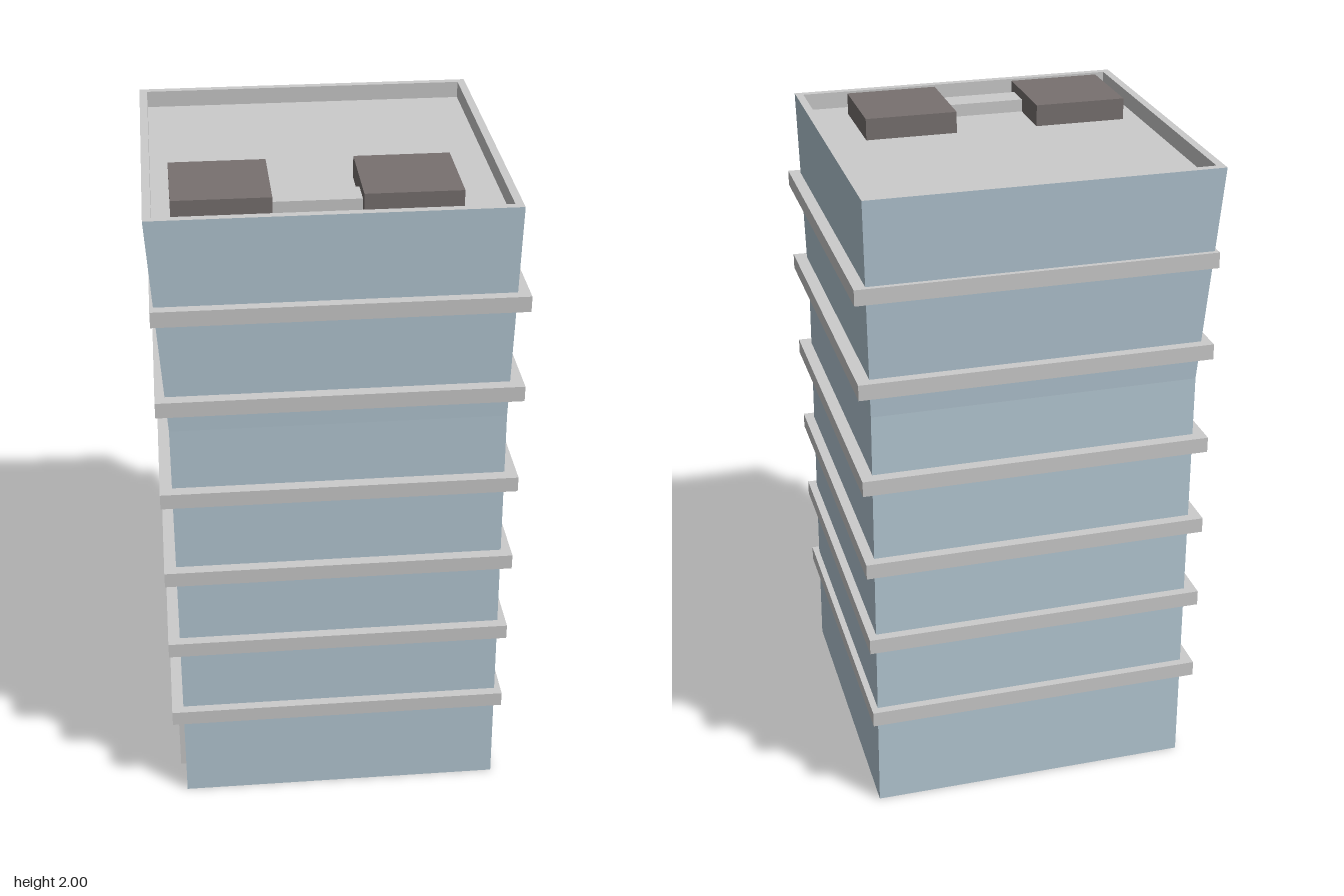
import * as THREE from 'three';

const paint = (color) => new THREE.MeshStandardMaterial({ color, flatShading: true });
const glass = paint(0xb6cad6);
const grey = paint(0xcccccc);
const dark = paint(0x787170);
const doorDark = paint(0x5c5256);

// Square ring of four corners, anticlockwise seen from above
function ring(y, side, cx = 0, cz = 0) {
  const h = side / 2;
  return [[-h, h], [h, h], [h, -h], [-h, -h]].map(([x, z]) => [x + cx, y, z + cz]);
}

// Joins rings with flat quads, optionally closing the first or last one
function loft(rings, capFirst, capLast) {
  const pos = [];
  const quad = (a, b, c, d) => pos.push(...a, ...b, ...c, ...a, ...c, ...d);
  for (let i = 0; i < rings.length - 1; i++) {
    const a = rings[i], b = rings[i + 1];
    for (let k = 0; k < 4; k++) {
      const n = (k + 1) % 4;
      quad(a[k], a[n], b[n], b[k]);
    }
  }
  if (capFirst) quad(...[...rings[0]].reverse());
  if (capLast) quad(...rings[rings.length - 1]);
  const geo = new THREE.BufferGeometry();
  geo.setAttribute('position', new THREE.Float32BufferAttribute(pos, 3));
  geo.computeVertexNormals();
  return geo;
}

function add(parent, name, geo, material, x = 0, y = 0, z = 0) {
  const mesh = new THREE.Mesh(geo, material);
  mesh.name = name;
  mesh.position.set(x, y, z);
  parent.add(mesh);
  return mesh;
}

const box = (w, h, d) => new THREE.BoxGeometry(w, h, d);

export function createModel() {
  const model = new THREE.Group();
  model.name = 'officeTower';
  const tower = new THREE.Group();
  tower.name = 'tower';
  tower.rotation.y = 0.0245;
  model.add(tower);

  // Walls: narrowing slightly, then flaring towards the roof
  const top = ring(1.985, 1.028, -0.013, -0.012);
  add(tower, 'walls', loft([
    ring(0, 0.985, 0.01, -0.002),
    ring(1.33, 0.972, 0.002, 0),
    top,
  ], true, false), glass);

  // Parapet rim and sunken roof deck
  add(tower, 'roof', loft([
    top,
    ring(1.985, 0.981, -0.013, -0.012),
    ring(1.935, 0.981, -0.013, -0.012),
  ], false, true), grey);

  // Ledges between floors, each tipped up a little at the back
  [0.317, 0.582, 0.844, 1.12, 1.424, 1.708].forEach((y, i) => {
    const side = 1.036 + i * 0.003;
    add(tower, 'ledge' + (i + 1), box(side, 0.047, side), grey, 0.001 * i, y, 0).rotation.x = 0.007;
  });

  // Roof units and the duct joining them
  for (const x of [-0.313, 0.214]) {
    add(tower, 'roofUnit', box(0.277, 0.068, 0.277), dark, x, 1.966, 0.268);
  }
  add(tower, 'roofDuct', box(0.3, 0.04, 0.085), grey, -0.05, 1.953, 0.332);

  // Two framed doors on the side wall
  for (const z of [-0.147, 0.232]) {
    const door = new THREE.Group();
    door.name = 'door';
    door.position.set(-0.484, 0, z);
    add(door, 'doorPanel', box(0.012, 0.235, 0.215), doorDark, 0, 0.1175, 0);
    for (const s of [-1, 1]) {
      add(door, 'doorJamb', box(0.032, 0.26, 0.028), grey, 0, 0.13, s * 0.121);
    }
    add(door, 'doorLintel', box(0.032, 0.028, 0.214), grey, 0, 0.246, 0);
    tower.add(door);
  }
  return model;
}
